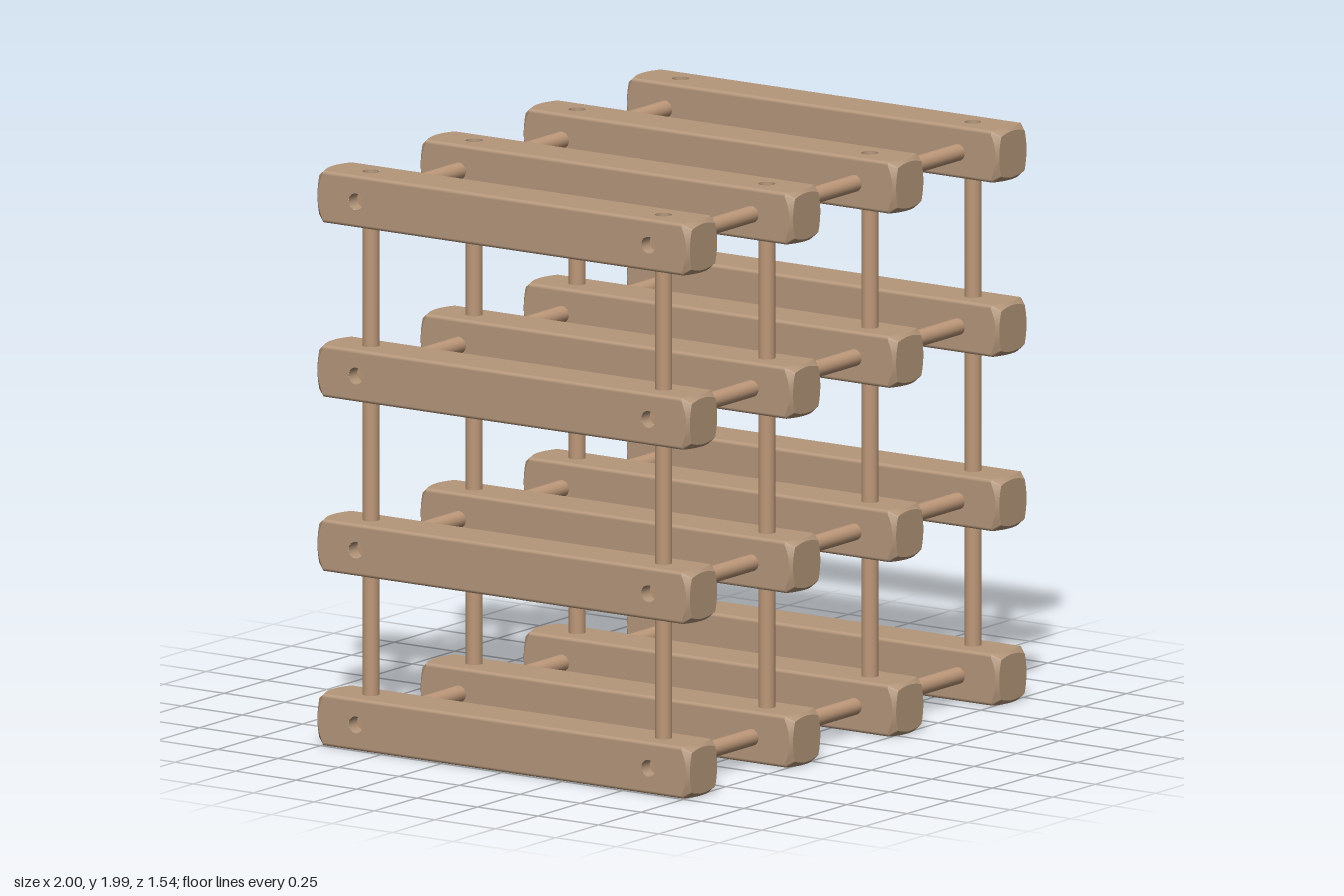
import * as THREE from 'three';
import { mergeGeometries } from 'three/addons/utils/BufferGeometryUtils.js';

const H = 0.09, R = 0.012, F = H - R;      // bar half width, edge rounding, flat half width
const END = 0.77, SHOULDER = 0.762;        // bar half length, start of the end bevel
const ROD = 0.029, ROD_Z = 0.605, RECESS = 0.05;
const COLS = [-0.91, -0.303, 0.303, 0.91];
const ROWS = [0.09, 0.694, 1.297, 1.9];
const STEPS = 8, ARC = 4;

// where a flat side stops, deeper towards its corners
const sideEnd = (t) => SHOULDER - 0.02 * (t / F) ** 2;
const flatSteps = Array.from({ length: STEPS + 1 }, (_, i) => F * (2 * i / STEPS - 1));

// matching loops for the bevel: outer on the bar, inner on the bulged end face
function bevelLoops() {
  const outer = [], inner = [];
  for (let k = 0; k < 4; k++) {
    const add = (list, x, y, z) =>
      list.push(new THREE.Vector3(x, y, z).applyAxisAngle(new THREE.Vector3(0, 0, 1), k * Math.PI / 2));
    for (const t of flatSteps) {
      add(outer, H, t, sideEnd(t));
      add(inner, 0.08 - 0.01 * (t / F) ** 2, 0.064 * t / F, END);
    }
    for (let i = 1; i < ARC; i++) {
      const a = i / ARC * Math.PI / 2, c = Math.cos(a), s = Math.sin(a);
      add(outer, F + R * c, F + R * s, sideEnd(F));
      add(inner, 0.064 + 0.006 * c, 0.064 + 0.006 * s, END);
    }
  }
  return { outer, inner };
}

// bevel band plus end face, facing +z
function barEnd() {
  const { outer, inner } = bevelLoops();
  const n = outer.length, index = [];
  for (let i = 0; i < n; i++) {
    const j = (i + 1) % n;
    index.push(i, j, n + i, j, n + j, n + i);
  }
  const band = new THREE.BufferGeometry().setFromPoints([...outer, ...inner]);
  band.setIndex(index);
  band.computeVertexNormals();
  const face = new THREE.ShapeGeometry(new THREE.Shape(inner.map((p) => new THREE.Vector2(p.x, p.y))));
  return [band, face.translate(0, 0, END)];
}

// one long flat side facing +x, with sunken rod holes if open
function barSide(open) {
  const pts = [
    ...flatSteps.map((t) => new THREE.Vector2(sideEnd(t), t)),
    ...[...flatSteps].reverse().map((t) => new THREE.Vector2(-sideEnd(t), t)),
  ];
  const shape = new THREE.Shape(pts), parts = [];
  if (open) {
    for (const z of [-ROD_Z, ROD_Z]) {
      shape.holes.push(new THREE.Path().absarc(z, 0, ROD, 0, Math.PI * 2, true));
      parts.push(new THREE.CylinderGeometry(ROD, ROD, RECESS, 24, 1, true)
        .scale(1, 1, 1).rotateZ(Math.PI / 2).translate(H - RECESS / 2, 0, z));
      // hole walls face inwards
      const wall = parts[parts.length - 1];
      wall.index.array.reverse();
      const nor = wall.attributes.normal;
      for (let i = 0; i < nor.array.length; i++) nor.array[i] *= -1;
    }
  }
  parts.push(new THREE.ShapeGeometry(shape, 24).rotateY(Math.PI / 2).translate(H, 0, 0));
  return parts;
}

// whole bar; openSides lists the sides with holes (0 +x, 1 +y, 2 -x, 3 -y)
function barGeometry(openSides) {
  const parts = [...barEnd(), ...barEnd().map((g) => g.rotateY(Math.PI))];
  for (let k = 0; k < 4; k++) {
    const edge = new THREE.CylinderGeometry(R, R, 2 * sideEnd(F), ARC, 1, true, 0, Math.PI / 2)
      .rotateX(-Math.PI / 2).translate(F, F, 0);
    for (const g of [edge, ...barSide(openSides.includes(k))]) parts.push(g.rotateZ(k * Math.PI / 2));
  }
  parts.forEach((g) => g.deleteAttribute('uv'));
  return mergeGeometries(parts);
}

export function createModel() {
  const model = new THREE.Group();
  model.name = 'rack';
  const barWood = new THREE.MeshStandardMaterial({ color: 0xb5977b });
  barWood.name = 'barWood';
  const rodWood = new THREE.MeshStandardMaterial({ color: 0xbd9879 });
  rodWood.name = 'rodWood';

  const add = (geometry, material, name, x, y, z) => {
    const mesh = new THREE.Mesh(geometry, material);
    mesh.name = name;
    mesh.position.set(x, y, z);
    model.add(mesh);
  };

  // grid of bars, open holes only on the outside of the rack
  COLS.forEach((x, c) => ROWS.forEach((y, r) => {
    const open = [];
    if (c === 3) open.push(0);
    if (r === 3) open.push(1);
    if (c === 0) open.push(2);
    if (r === 0) open.push(3);
    add(barGeometry(open), barWood, 'bar', x, y, 0);
  }));

  // rods through the bars, ending inside the outer holes
  const reach = 2 * (H - RECESS);
  const across = new THREE.CylinderGeometry(ROD, ROD, COLS[3] - COLS[0] + reach, 24).rotateZ(Math.PI / 2);
  const upright = new THREE.CylinderGeometry(ROD, ROD, ROWS[3] - ROWS[0] + reach, 24);
  for (const z of [-ROD_Z, ROD_Z]) {
    for (const y of ROWS) add(across, rodWood, 'crossRod', 0, y, z);
    for (const x of COLS) add(upright, rodWood, 'uprightRod', x, (ROWS[0] + ROWS[3]) / 2, z);
  }
  return model;
}
